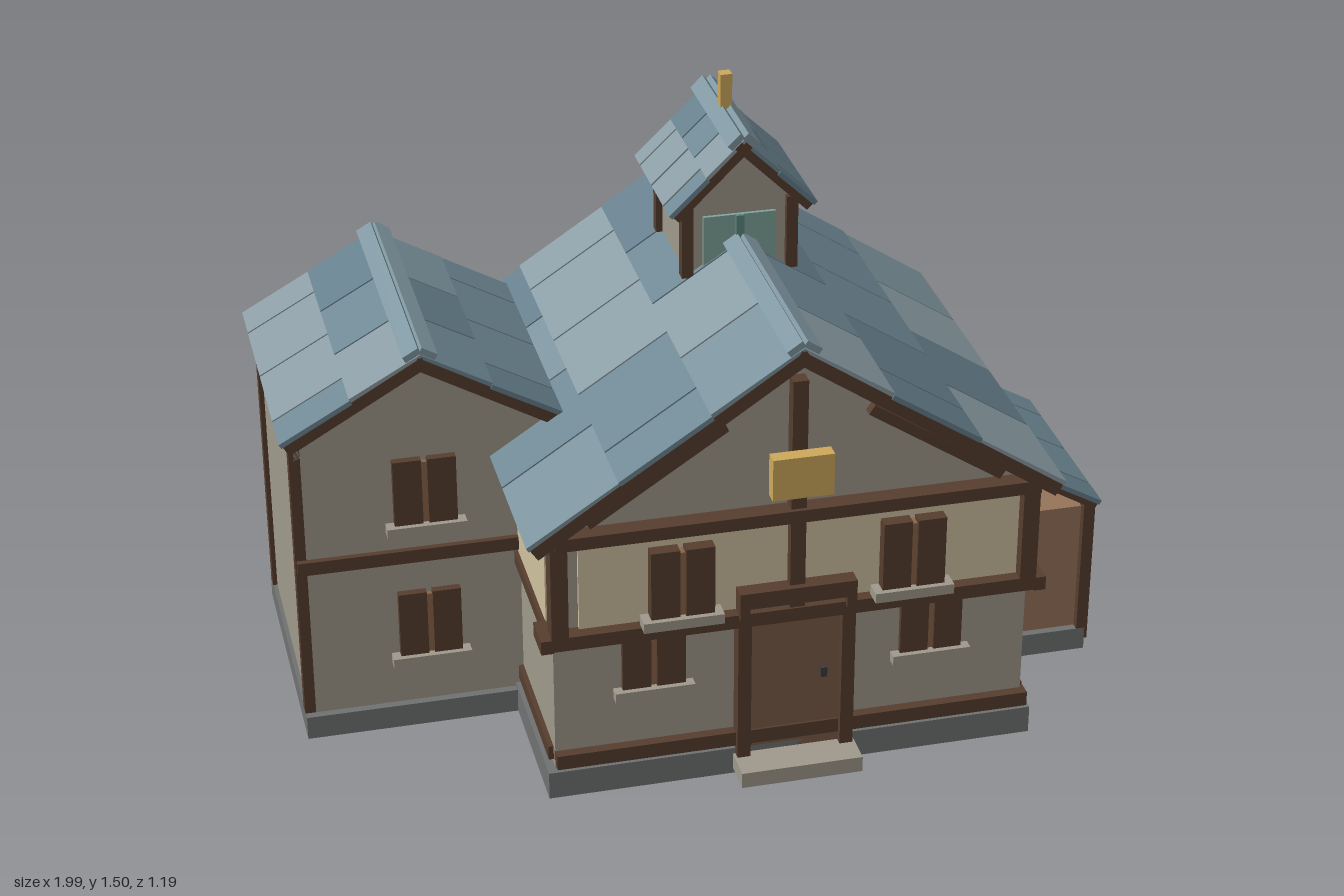
import * as THREE from 'three';

const mat = (color) => new THREE.MeshStandardMaterial({ color, flatShading: true });
const M = {
  plaster: mat(0xa09a8c), cream: mat(0xd0c2a0), stone: mat(0x707272), sill: mat(0xa09a8c),
  timber: mat(0x573e2f), wood: mat(0x98745a), door: mat(0x7c5c4a), gold: mat(0xcfa95a),
  glass: mat(0x7fa59c), glassDark: mat(0x5f8880), strip: mat(0x8a6448), ridge: mat(0x8098a2), iron: mat(0x3c3c3c),
};
const slates = [0x667f8c, 0x7b929c, 0x8a9ca4, 0x6f8894].map(mat);
const C = 0.13; // centre line of the main house

// Axis-aligned box given by its limits
function box(parent, name, m, x0, x1, y0, y1, z0, z1) {
  const b = new THREE.Mesh(new THREE.BoxGeometry(x1 - x0, y1 - y0, z1 - z0), m);
  b.position.set((x0 + x1) / 2, (y0 + y1) / 2, (z0 + z1) / 2);
  b.name = name;
  parent.add(b);
  return b;
}

// Sloping beam between two points in the xy plane
function beam(parent, name, x0, y0, x1, y1, w, z0, z1) {
  const len = Math.hypot(x1 - x0, y1 - y0);
  const b = box(parent, name, M.timber, -len / 2, len / 2, -w / 2, w / 2, z0, z1);
  b.position.set((x0 + x1) / 2, (y0 + y1) / 2, (z0 + z1) / 2);
  b.rotation.z = Math.atan2(y1 - y0, x1 - x0);
}

// Gabled wall block
function gabledWalls(parent, name, cx, half, y0, eave, peak, z0, z1) {
  const s = new THREE.Shape([[-half, y0], [half, y0], [half, eave], [0, peak], [-half, eave]]
    .map(([x, y]) => new THREE.Vector2(x, y)));
  const w = new THREE.Mesh(new THREE.ExtrudeGeometry(s, { depth: z1 - z0, bevelEnabled: false }), M.plaster);
  w.position.set(cx, 0, z0);
  w.name = name;
  parent.add(w);
}

// Gable roof: timber deck, staggered slates and a ridge cap
function roof(parent, name, cx, half, eave, peak, z0, z1, rows, cols, deckT) {
  const g = new THREE.Group();
  g.name = name;
  const len = Math.hypot(half, peak - eave), angle = Math.atan2(peak - eave, half);
  const tileW = (z1 - z0) / cols, rowL = len / rows, gap = 0.003;
  for (const s of [-1, 1]) {
    const side = new THREE.Group();
    side.name = s < 0 ? 'rightSlope' : 'leftSlope';
    side.position.set(cx, peak, 0);
    side.rotation.z = -s * angle;
    const span = (nm, m, a, b, y0, y1, za, zb) =>
      box(side, nm, m, Math.min(s * a, s * b), Math.max(s * a, s * b), y0, y1, za, zb);
    span('roofDeck', M.timber, 0, len - 0.004, -0.01 - deckT, -0.008, z0 + 0.002, z1 - 0.002);
    for (let r = 0; r < rows; r++) {
      const shift = r % 2 ? -0.5 : 0;
      for (let c = 0; c < cols + (r % 2); c++) {
        const a = Math.max(z0, z0 + (c + shift) * tileW + gap);
        const b = Math.min(z1, z0 + (c + 1 + shift) * tileW - gap);
        const tile = span('slate', slates[(c * 3 + r * 2 + (s > 0 ? 1 : 0) + ((c * r) % 3)) % 4],
          r * rowL, (r + 1) * rowL, -0.011, 0.001, a, b);
        tile.rotation.z = s * 0.015;
      }
    }
    // Half of the folded ridge cap
    span('ridgeCap', M.ridge, -0.006, 0.036, 0.004, 0.02, z0 - 0.002, z1 + 0.002);
    g.add(side);
  }
  parent.add(g);
}

// Shuttered window with sill; z is the wall face
function shutters(parent, cx, y0, y1, z) {
  const g = new THREE.Group();
  g.name = 'shutteredWindow';
  box(g, 'windowStrip', M.strip, cx - 0.012, cx + 0.012, y0, y1 - 0.01, z - 0.01, z + 0.014);
  for (const s of [-1, 1])
    box(g, 'shutter', M.timber, cx + s * 0.041 - 0.034, cx + s * 0.041 + 0.034, y0, y1, z - 0.01, z + 0.022);
  box(g, 'sill', M.sill, cx - 0.095, cx + 0.095, y0 - 0.025, y0, z - 0.01, z + 0.035);
  parent.add(g);
}

function mainHouse() {
  const g = new THREE.Group();
  g.name = 'mainHouse';
  box(g, 'foundation', M.stone, -0.46, 0.72, 0, 0.07, -0.56, 0.51);
  gabledWalls(g, 'walls', C, 0.57, 0.06, 0.695, 1.08, -0.535, 0.49);
  roof(g, 'mainRoof', C, 0.635, 0.705, 1.133, -0.588, 0.548, 3, 4, 0.03);

  // Front timber frame and upper panel
  box(g, 'upperPanel', M.cream, -0.38, 0.67, 0.44, 0.69, 0.48, 0.5);
  box(g, 'jettyBeam', M.timber, -0.445, 0.705, 0.415, 0.45, 0.48, 0.53);
  for (const s of [-1, 1]) {
    box(g, 'cornerPost', M.timber, C + s * 0.56 - 0.02, C + s * 0.56 + 0.02, 0.44, 0.7, 0.48, 0.53);
    box(g, 'beamEnd', M.timber, C + s * 0.59 - 0.015, C + s * 0.59 + 0.015, 0.412, 0.447, 0.44, 0.53);
  }
  box(g, 'kingPost', M.timber, C - 0.018, C + 0.018, 0.44, 1.04, 0.48, 0.525);
  box(g, 'backKingPost', M.timber, C - 0.018, C + 0.018, 0.7, 1.04, -0.552, -0.52);

  // Beams and braces shared by front and back gables
  for (const [z0, z1] of [[0.48, 0.515], [-0.552, -0.52]]) {
    box(g, 'tieBeam', M.timber, -0.44, 0.71, 0.68, 0.712, z0, z1 + (z1 > 0 ? 0.02 : 0));
    box(g, 'baseBeam', M.timber, -0.44, 0.71, 0.08, 0.117, z0, z1);
    for (const s of [-1, 1])
      beam(g, 'gableBrace', C + s * 0.49, 0.73, C + s * 0.17, 0.94, 0.026, z0, z1);
  }
  // Side panels and beams
  for (const s of [-1, 1]) {
    const x = C + s * 0.57;
    box(g, 'sidePanel', M.cream, x - 0.006, x + 0.006, 0.44, 0.69, -0.485, 0.44);
    box(g, 'sideBeam', M.timber, x - 0.015, x + 0.015, 0.41, 0.443, -0.5, 0.45);
    box(g, 'sideBaseBeam', M.timber, x - 0.012, x + 0.012, 0.082, 0.118, -0.52, 0.47);
    shutters(g, C + s * 0.335, 0.27, 0.41, 0.482);
    shutters(g, C + s * 0.275, 0.475, 0.65, 0.52);
  }
  box(g, 'hangingBoard', M.gold, C - 0.072, C + 0.072, 0.76, 0.865, 0.525, 0.56);
  return g;
}

function entrance() {
  const g = new THREE.Group();
  g.name = 'entrance';
  box(g, 'door', M.door, 0.02, 0.24, 0.05, 0.42, 0.48, 0.51);
  for (const s of [-1, 1]) {
    box(g, 'doorPost', M.timber, C + s * 0.125 - 0.016, C + s * 0.125 + 0.016, 0.05, 0.43, 0.48, 0.53);
    box(g, 'canopyBracket', M.timber, C + s * 0.128 - 0.012, C + s * 0.128 + 0.012, 0.44, 0.475, 0.49, 0.54);
  }
  box(g, 'doorHeader', M.timber, C - 0.14, C + 0.14, 0.468, 0.51, 0.49, 0.54);
  box(g, 'doorHandle', M.iron, 0.192, 0.207, 0.245, 0.27, 0.505, 0.522);
  box(g, 'doorstep', M.sill, C - 0.147, C + 0.147, 0.015, 0.055, 0.49, 0.597);
  return g;
}

function sideWing() {
  const g = new THREE.Group();
  g.name = 'sideWing';
  const cx = -0.665;
  box(g, 'wingFoundation', M.stone, -0.975, -0.36, 0, 0.06, -0.552, 0.13);
  gabledWalls(g, 'wingWalls', cx, 0.3, 0.05, 0.785, 0.955, -0.53, 0.11);
  roof(g, 'wingRoof', cx, 0.333, 0.815, 1.007, -0.556, 0.138, 2, 3, 0.028);
  for (const [z0, z1] of [[0.1, 0.125], [-0.546, -0.52]]) {
    box(g, 'floorBand', M.timber, -0.973, -0.355, 0.453, 0.487, z0, z1);
  }
  for (const z of [0.092, -0.515])
    box(g, 'wingPost', M.timber, -0.976, -0.95, 0.06, 0.81, z - 0.018, z + 0.018);
  shutters(g, cx, 0.2, 0.37, 0.108);
  shutters(g, cx, 0.56, 0.73, 0.108);
  return g;
}

function shed() {
  const g = new THREE.Group();
  g.name = 'shed';
  box(g, 'shedFoundation', M.stone, 0.69, 0.977, 0, 0.06, -0.315, 0.19);
  box(g, 'shedWalls', M.wood, 0.69, 0.965, 0.05, 0.405, -0.295, 0.17);
  for (const z of [0.175, -0.3])
    box(g, 'shedPost', M.timber, 0.955, 0.984, 0.03, 0.425, z - 0.015, z + 0.015);
  roof(g, 'shedRoof', 0.765, 0.228, 0.432, 0.565, -0.332, 0.205, 2, 3, 0.016);
  return g;
}

function turret() {
  const g = new THREE.Group();
  g.name = 'turret';
  gabledWalls(g, 'turretWalls', C, 0.125, 0.95, 1.24, 1.37, -0.31, -0.035);
  for (const s of [-1, 1]) for (const z of [-0.035, -0.3])
    box(g, 'turretPost', M.timber, C + s * 0.127 - 0.014, C + s * 0.127 + 0.014, 1.05, 1.235, z - 0.015, z + 0.015);
  // Glazed front window
  box(g, 'turretWindow', M.glass, C - 0.088, C + 0.088, 1.06, 1.2, -0.045, -0.026);
  box(g, 'windowMullion', M.glassDark, C - 0.01, C + 0.01, 1.06, 1.2, -0.045, -0.018);
  roof(g, 'turretRoof', C, 0.178, 1.228, 1.403, -0.35, 0.01, 2, 3, 0.02);
  box(g, 'finial', M.gold, C - 0.014, C + 0.014, 1.4, 1.5, -0.186, -0.158);
  return g;
}

export function createModel() {
  const model = new THREE.Group();
  model.name = 'timberHouse';
  model.add(mainHouse(), entrance(), sideWing(), shed(), turret());
  return model;
}
